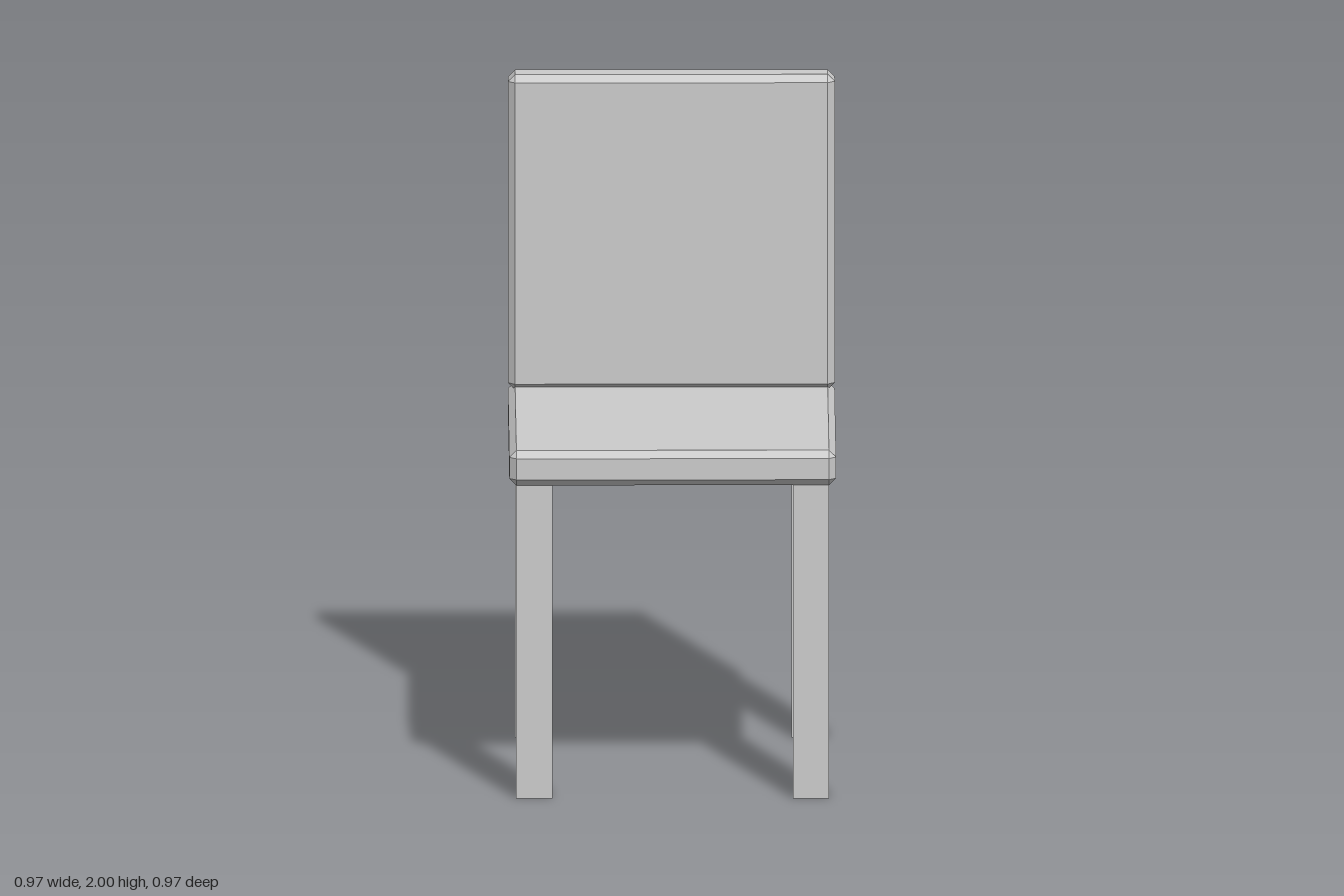
import * as THREE from 'three';
import { ConvexGeometry } from 'three/addons/geometries/ConvexGeometry.js';

// Box with a single flat bevel along every edge
function bevelledBox(w, h, d, b) {
  const points = [];
  for (const sx of [-1, 1]) for (const sy of [-1, 1]) for (const sz of [-1, 1]) {
    const x = w / 2, y = h / 2, z = d / 2;
    points.push(
      new THREE.Vector3(sx * x, sy * (y - b), sz * (z - b)),
      new THREE.Vector3(sx * (x - b), sy * y, sz * (z - b)),
      new THREE.Vector3(sx * (x - b), sy * (y - b), sz * z));
  }
  return new ConvexGeometry(points);
}

export function createModel() {
  const chair = new THREE.Group();
  chair.name = 'chair';
  const grey = new THREE.MeshStandardMaterial({ color: 0xcccccc });
  grey.name = 'grey';

  const add = (name, geometry, x, y, z) => {
    const mesh = new THREE.Mesh(geometry, grey);
    mesh.name = name;
    mesh.position.set(x, y, z);
    chair.add(mesh);
  };

  const size = 0.966, thick = 0.106, bevel = 0.021;
  const seatTop = 1.055, backBottom = 1.045;

  // Seat slab
  add('seat', bevelledBox(size, thick, size, bevel), 0, seatTop - thick / 2, 0);

  // Upright back panel, flush with the rear of the seat
  add('backrest', bevelledBox(size, 2 - backBottom, thick, bevel),
    0, (2 + backBottom) / 2, -(size - thick) / 2);

  // Four square legs
  const legHeight = seatTop - thick, legWidth = 0.107;
  const leg = new THREE.BoxGeometry(legWidth, legHeight, legWidth);
  for (const [side, sx] of [['Left', 1], ['Right', -1]])
    for (const [end, sz] of [['front', 1], ['back', -1]])
      add(`${end}${side}Leg`, leg, sx * 0.409, legHeight / 2, sz * 0.409);

  return chair;
}
